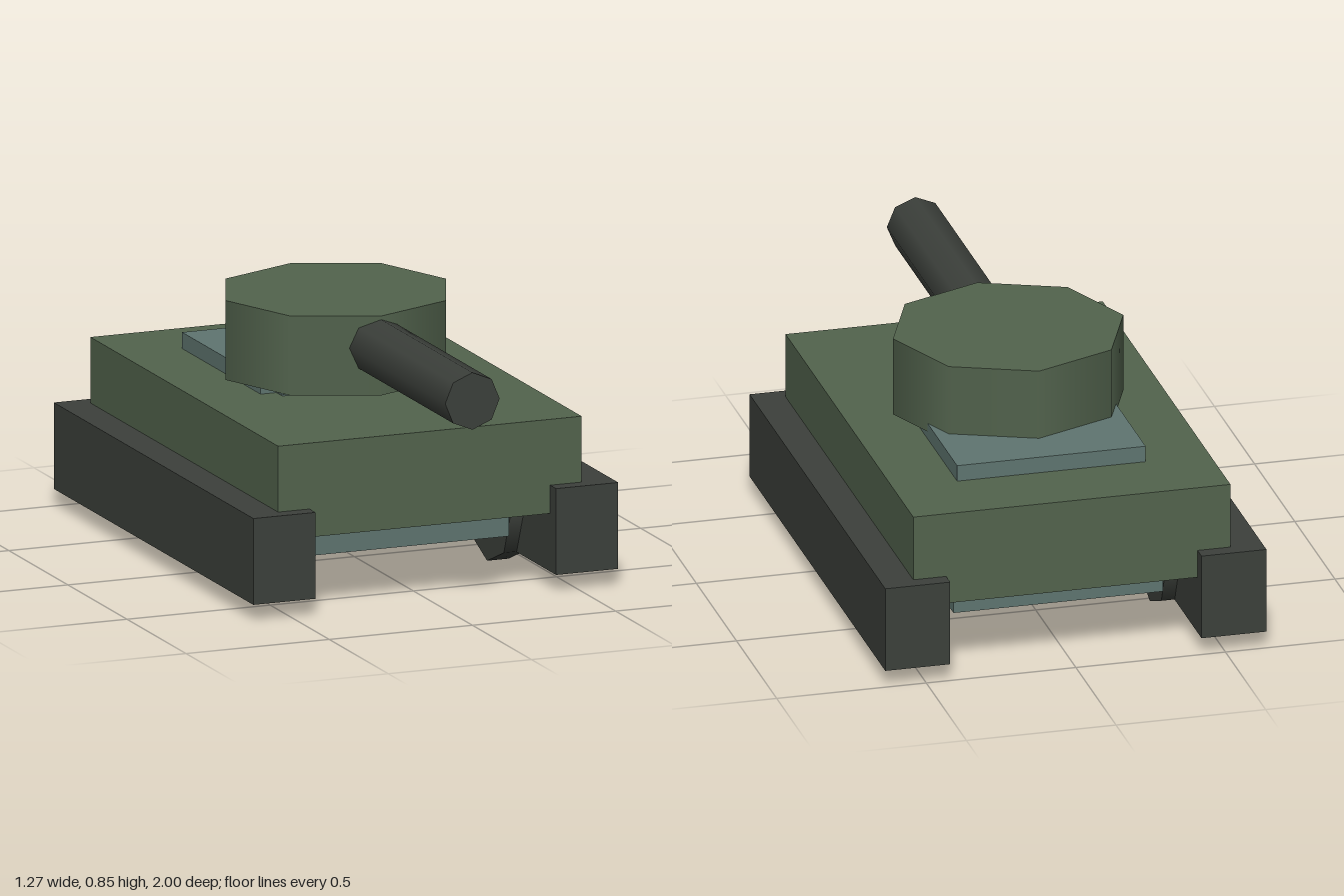
import * as THREE from 'three';

function flat(name, color) {
  const m = new THREE.MeshStandardMaterial({ color });
  m.name = name;
  return m;
}

export function createModel() {
  const model = new THREE.Group();
  model.name = 'tank';
  const green = flat('armourGreen', 0x52634d);
  const dark = flat('darkMetal', 0x3c403b);
  const steel = flat('blueGreySteel', 0x5f7570);

  const add = (name, geometry, material) => {
    const mesh = new THREE.Mesh(geometry, material);
    mesh.name = name;
    model.add(mesh);
    return mesh;
  };
  // box given by its limits on each axis
  const box = (name, material, [x0, x1], [y0, y1], [z0, z1]) =>
    add(name, new THREE.BoxGeometry(x1 - x0, y1 - y0, z1 - z0), material)
      .position.set((x0 + x1) / 2, (y0 + y1) / 2, (z0 + z1) / 2);
  // eight-sided drum with a corner on each axis
  const drum = (name, material, radius, length) =>
    add(name, new THREE.CylinderGeometry(radius, radius, length, 8), material);

  // body
  box('hull', green, [-0.53, 0.53], [0.25, 0.563], [-0.95, 0.64]);
  box('bellyPlate', steel, [-0.35, 0.35], [0.14, 0.26], [-0.78, 0.46]);
  box('engineDeck', steel, [-0.315, 0.315], [0.55, 0.617], [-0.695, -0.03]);
  box('turretBase', steel, [-0.26, 0.26], [0.55, 0.567], [-0.34, 0.02]);

  // turret and gun
  drum('turret', green, 0.385, 0.264).position.set(0, 0.72, -0.157);
  const barrel = drum('gunBarrel', dark, 0.095, 0.9);
  barrel.rotation.x = Math.PI / 2;
  barrel.position.set(0, 0.745, 0.55);

  // tracks and inner wheels, mirrored
  for (const [side, s] of [['left', 1], ['right', -1]]) {
    const xs = [s * 0.42, s * 0.637].sort((a, b) => a - b);
    box(side + 'Track', dark, xs, [0.057, 0.344], [-1, 0.69]);
    for (const [end, z] of [['Front', 0.215], ['Rear', -0.525]]) {
      const wheel = drum(side + end + 'Wheel', dark, 0.2, 0.075);
      wheel.rotation.z = Math.PI / 2;
      wheel.position.set(s * 0.4125, 0.2, z);
    }
  }
  return model;
}
